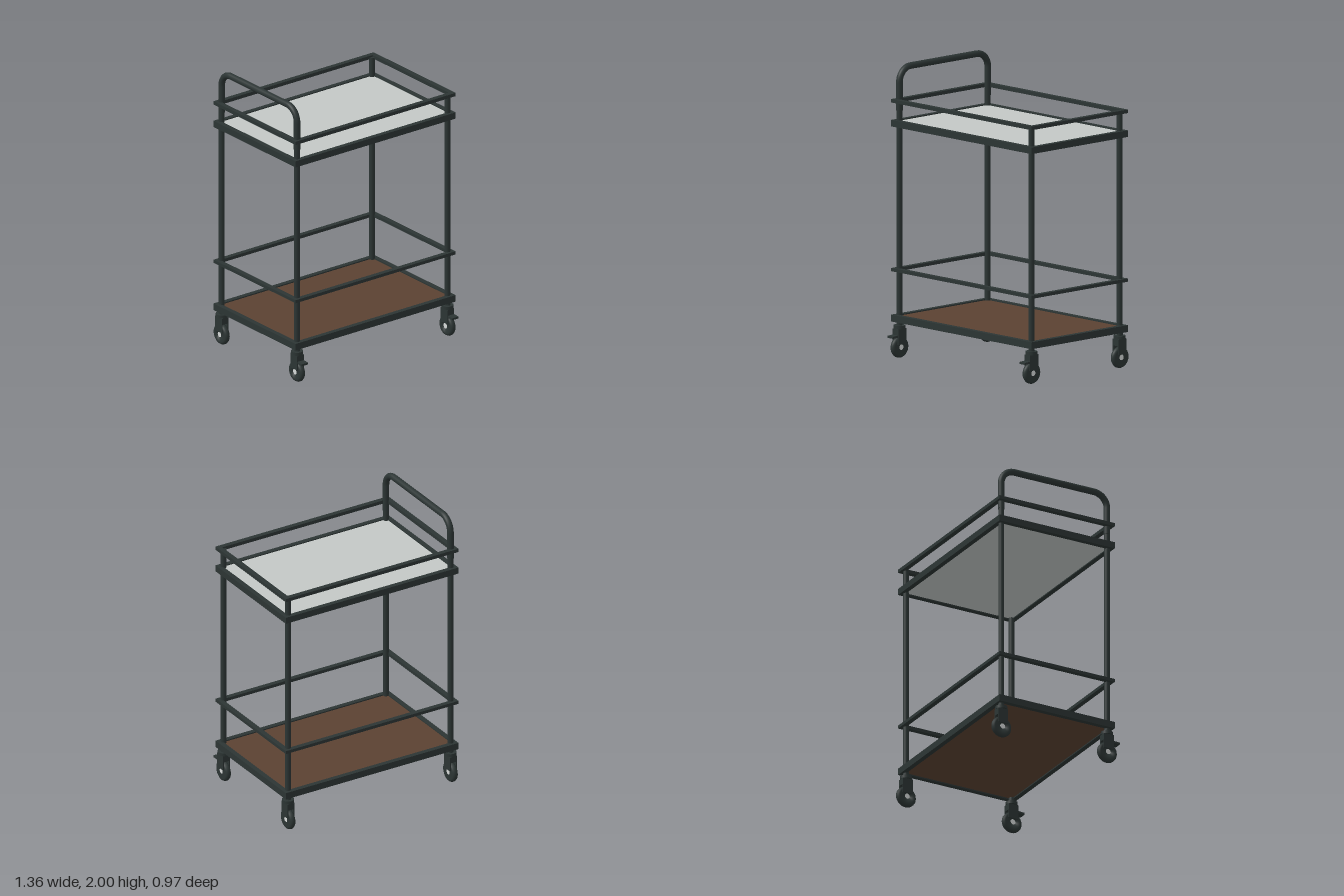
import * as THREE from 'three';

const frameMat = new THREE.MeshStandardMaterial({ color: 0x2c3534 });
frameMat.name = 'dark metal';
const topMat = new THREE.MeshStandardMaterial({ color: 0xc3c8c6 });
topMat.name = 'pale panel';
const woodMat = new THREE.MeshStandardMaterial({ color: 0x5b4232 });
woodMat.name = 'brown wood';
const hubMat = new THREE.MeshStandardMaterial({ color: 0xd6d9d8 });
hubMat.name = 'light hub';

const HX = 0.682, HZ = 0.445; // half size of the frames
const LX = 0.641, LZ = 0.408; // leg positions

function add(parent, name, geometry, material, x = 0, y = 0, z = 0) {
  const mesh = new THREE.Mesh(geometry, material);
  mesh.name = name;
  mesh.position.set(x, y, z);
  parent.add(mesh);
  return mesh;
}

const box = (w, h, d) => new THREE.BoxGeometry(w, h, d);

// Rectangular ring of bar, lying flat between two heights
function ring(parent, name, y0, y1, bar) {
  const s = new THREE.Shape([[-HX, -HZ], [HX, -HZ], [HX, HZ], [-HX, HZ]].map(p => new THREE.Vector2(...p)));
  const x = HX - bar, z = HZ - bar;
  s.holes.push(new THREE.Path([[-x, -z], [-x, z], [x, z], [x, -z]].map(p => new THREE.Vector2(...p))));
  const g = new THREE.ExtrudeGeometry(s, { depth: y1 - y0, bevelEnabled: false });
  g.rotateX(-Math.PI / 2);
  add(parent, name, g, frameMat, 0, y0, 0);
}

// Swivel caster; only the front pair has a brake pedal
function caster(parent, x, z, brake) {
  const c = new THREE.Group();
  c.name = brake ? 'brakedCaster' : 'caster';
  c.position.set(x, 0, z);
  parent.add(c);

  add(c, 'casterStem', new THREE.CylinderGeometry(0.021, 0.021, 0.06, 16), frameMat, 0, 0.235, 0);
  add(c, 'casterCollar', new THREE.CylinderGeometry(0.041, 0.041, 0.022, 20), frameMat, 0, 0.211, 0);

  // Fork: crown block and two cheeks
  add(c, 'forkCrown', box(0.056, 0.045, 0.075), frameMat, 0, 0.177, 0);
  for (const s of [-1, 1]) add(c, 'forkCheek', box(0.007, 0.066, 0.075), frameMat, s * 0.0245, 0.128, 0);

  // Tyre with a rounded tread, spun about the x axis
  const profile = [[0.019, -0.019], [0.056, -0.02], [0.067, -0.016], [0.073, -0.006],
    [0.073, 0.006], [0.067, 0.016], [0.056, 0.02], [0.019, 0.019], [0.019, -0.019]]
    .map(p => new THREE.Vector2(...p));
  const tyre = new THREE.LatheGeometry(profile, 32);
  tyre.rotateZ(Math.PI / 2);
  add(c, 'wheel', tyre, frameMat, 0, 0.073, 0);
  const hub = new THREE.CylinderGeometry(0.019, 0.019, 0.038, 16);
  hub.rotateZ(Math.PI / 2);
  add(c, 'wheelHub', hub, hubMat, 0, 0.073, 0);

  if (brake) {
    const pedal = add(c, 'brakePedal', box(0.054, 0.014, 0.052), frameMat, 0, 0.15, 0.059);
    pedal.rotation.x = 0.05;
  }
}

export function createModel() {
  const model = new THREE.Group();
  model.name = 'servingCart';
  const cart = new THREE.Group();
  cart.name = 'cart';
  cart.position.z = -0.006;
  model.add(cart);

  // Tray frames and guard rails
  ring(cart, 'lowerTrayFrame', 0.245, 0.292, 0.034);
  ring(cart, 'lowerGuardRail', 0.588, 0.61, 0.034);
  ring(cart, 'upperTrayFrame', 1.575, 1.62, 0.034);
  ring(cart, 'upperGuardRail', 1.738, 1.762, 0.034);

  // Shelf panels
  const w = 2 * (HX - 0.033), d = 2 * (HZ - 0.033);
  add(cart, 'lowerShelf', box(w, 0.03, d), woodMat, 0, 0.269, 0);
  add(cart, 'upperShelf', box(w, 0.03, d), topMat, 0, 1.598, 0);

  // Legs and casters
  for (const sx of [-1, 1]) for (const sz of [-1, 1]) {
    add(cart, 'leg', new THREE.CylinderGeometry(0.02, 0.02, 1.5, 16), frameMat, sx * LX, 1.0, sz * LZ);
    caster(cart, sx * LX, sz * LZ, sz > 0);
  }

  // Push handle: an arch over the right-hand legs
  const top = 1.9775, r = 0.1, v = (y, z) => new THREE.Vector3(-LX, y, z);
  const path = new THREE.CurvePath();
  path.add(new THREE.LineCurve3(v(1.685, LZ), v(top - r, LZ)));
  const bend = (z0, z1, y0, y1, cy, cz) => path.add(new THREE.CubicBezierCurve3(
    v(y0, z0), v(y0 + (cy - y0) * 0.552, z0 + (cz - z0) * 0.552),
    v(y1 + (cy - y1) * 0.552, z1 + (cz - z1) * 0.552), v(y1, z1)));
  bend(LZ, LZ - r, top - r, top, top, LZ);
  path.add(new THREE.LineCurve3(v(top, LZ - r), v(top, r - LZ)));
  bend(r - LZ, -LZ, top, top - r, top, -LZ);
  path.add(new THREE.LineCurve3(v(top - r, -LZ), v(1.685, -LZ)));
  add(cart, 'pushHandle', new THREE.TubeGeometry(path, 90, 0.0225, 16), frameMat);
  for (const s of [-1, 1]) {
    const cap = new THREE.CircleGeometry(0.0225, 16);
    cap.rotateX(Math.PI / 2);
    add(cart, 'handleEnd', cap, frameMat, -LX, 1.685, s * LZ);
  }

  return model;
}
